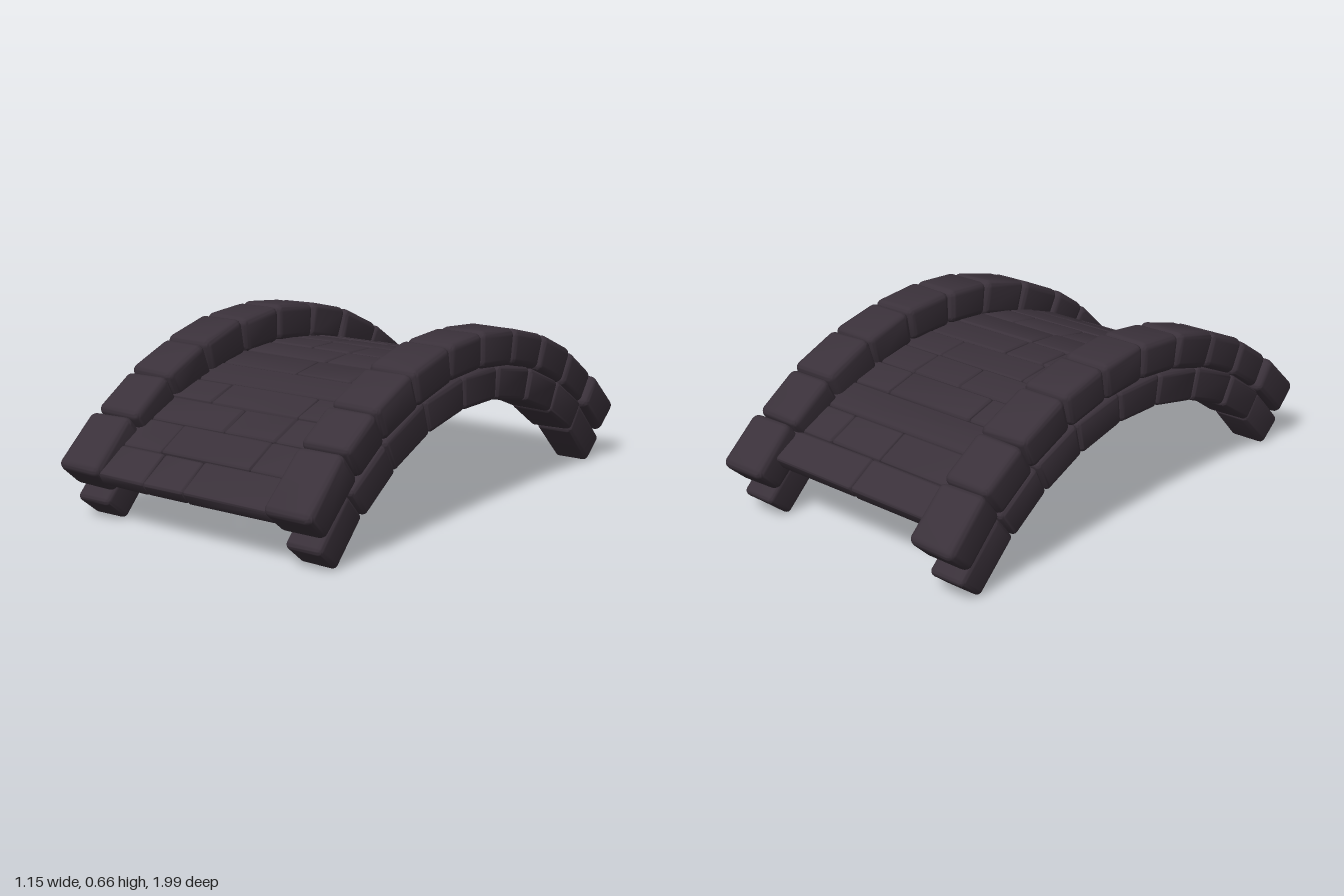
import * as THREE from 'three';
import { RoundedBoxGeometry } from 'three/addons/geometries/RoundedBoxGeometry.js';
import { toCreasedNormals } from 'three/addons/utils/BufferGeometryUtils.js';

// Small seeded generator for the hand-cut irregularity
function makeRandom(seed) {
  return () => {
    seed = (seed * 16807) % 2147483647;
    return seed / 2147483647;
  };
}

export function createModel() {
  const model = new THREE.Group();
  const stone = new THREE.MeshStandardMaterial({ color: 0x3a313a });
  stone.name = 'dark stone';
  const random = makeRandom(4711);

  // One wedge-shaped block between two x, two radii and two z (measured on the outer arc)
  function addBlock(parent, name, x, radii, z, centreY, bevel, rough) {
    const [x0, x1] = x, [r0, r1] = radii;
    const a0 = Math.asin(z[0] / r1), a1 = Math.asin(z[1] / r1);
    const w = x1 - x0, h = r1 - r0, len = (a1 - a0) * r1;
    const geometry = new RoundedBoxGeometry(w, h, len, 3, bevel);
    const skew = Array.from({ length: 8 }, () =>
      [0, 0, 0].map(() => (random() - 0.5) * rough));
    const p = geometry.attributes.position;
    for (let i = 0; i < p.count; i++) {
      const u = p.getX(i) / w + 0.5, v = p.getY(i) / h + 0.5, t = p.getZ(i) / len + 0.5;
      // blend the offsets of the eight corners
      const d = [0, 0, 0];
      for (let c = 0; c < 8; c++) {
        const s = [c & 1, (c >> 1) & 1, c >> 2];
        const k = (s[0] ? u : 1 - u) * (s[1] ? v : 1 - v) * (s[2] ? t : 1 - t);
        for (let j = 0; j < 3; j++) d[j] += k * skew[c][j];
      }
      const r = r0 + v * h + d[1];
      const a = a0 + (a1 - a0) * t + d[2] / r1;
      p.setXYZ(i, x0 + u * w + d[0], centreY + r * Math.cos(a), r * Math.sin(a));
    }
    const mesh = new THREE.Mesh(toCreasedNormals(geometry, 0.7), stone);
    mesh.name = name;
    parent.add(mesh);
  }

  function addGroup(name) {
    const group = new THREE.Group();
    group.name = name;
    model.add(group);
    return group;
  }

  // Parapet arches: large stones along both sides
  const parapetJoints = {
    right: [-1.006, -0.83, -0.65, -0.43, -0.22, 0.005, 0.22, 0.44, 0.64, 0.82, 1.006],
    left: [-1.006, -0.84, -0.66, -0.45, -0.24, -0.015, 0.2, 0.43, 0.64, 0.805, 1.006],
  };
  // Supporting arches: a slimmer ring below
  const supportJoints = [-0.938, -0.755, -0.57, -0.36, -0.125, 0.108, 0.35, 0.585, 0.775, 0.938];

  for (const side of ['right', 'left']) {
    const sign = side === 'left' ? 1 : -1;
    const span = (inner, outer) => (sign > 0 ? [inner, outer] : [-outer, -inner]);

    const parapet = addGroup(side + 'ParapetArch');
    const joints = parapetJoints[side];
    for (let i = 0; i < joints.length - 1; i++) {
      const wide = side === 'right' ? i === 9 : i === 0;
      addBlock(parapet, 'parapetStone', wide ? span(0.38, 0.574) : span(0.363, 0.56),
        [1.207, 1.347], [joints[i], joints[i + 1]], -0.69, 0.028, 0.008);
    }

    const support = addGroup(side + 'SupportArch');
    for (let i = 0; i < supportJoints.length - 1; i++) {
      const end = i === 0 || i === supportJoints.length - 2;
      addBlock(support, 'supportStone', end ? span(0.398, 0.55) : span(0.375, 0.558),
        [1.085, 1.212], [supportJoints[i], supportJoints[i + 1]], -0.69, 0.02, 0.006);
    }
  }

  // Walkway: rows of paving on a flatter arc, with the joints across each row
  const rowEdges = [-0.91, -0.79, -0.66, -0.525, -0.39, -0.25, -0.11, 0.04, 0.185, 0.33,
    0.47, 0.6, 0.73, 0.86, 0.982];
  const rowJoints = [[0], [-0.025, 0.22], [], [-0.2, 0.195], [-0.03, 0.2], [-0.205, 0.195],
    [-0.18, 0]];
  const walkway = addGroup('walkway');
  const lastRow = rowEdges.length - 2;
  for (let i = 0; i <= lastRow; i++) {
    const xs = [-0.42, ...rowJoints[i % 7], 0.42];
    // the two end rows are thinner
    const depth = i === 0 || i === lastRow ? 0.064 : 0.088;
    for (let j = 0; j < xs.length - 1; j++) {
      addBlock(walkway, 'pavingStone', [xs[j], xs[j + 1]], [1.64 - depth, 1.64],
        [rowEdges[i], rowEdges[i + 1]], -1.115, 0.012, 0.004);
    }
  }

  return model;
}
